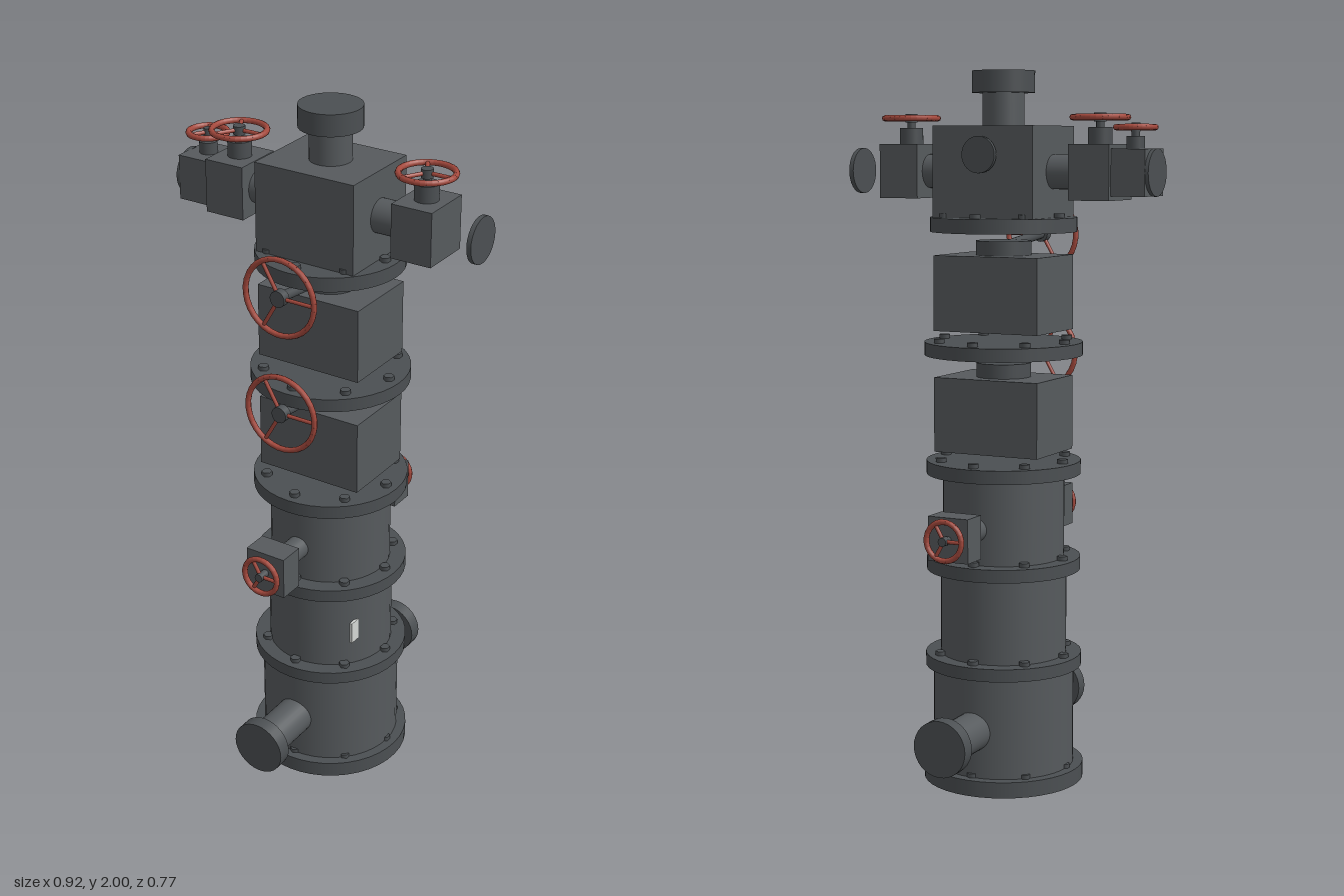
import * as THREE from 'three';
import { mergeGeometries } from 'three/addons/utils/BufferGeometryUtils.js';

const mat = (name, color) => {
  const m = new THREE.MeshStandardMaterial({ color });
  m.name = name;
  return m;
};

export function createModel() {
  const root = new THREE.Group();
  root.name = 'wellheadTree';
  const body = mat('steelGrey', 0x565a5d);
  const dark = mat('flangeGrey', 0x4b4f52);
  const red = mat('wheelRed', 0xa5493d);
  const pale = mat('paleGrey', 0xd4d6d4);

  const add = (parent, name, geo, material, x = 0, y = 0, z = 0) => {
    const m = new THREE.Mesh(geo, material);
    m.name = name;
    m.position.set(x, y, z);
    parent.add(m);
    return m;
  };
  // cylinder between two points
  const rod = (parent, name, a, b, r, material, sides = 32) => {
    const p = new THREE.Vector3(...a), q = new THREE.Vector3(...b);
    const d = q.clone().sub(p);
    const m = add(parent, name, new THREE.CylinderGeometry(r, r, d.length(), sides), material);
    m.position.copy(p).add(q).multiplyScalar(0.5);
    m.quaternion.setFromUnitVectors(new THREE.Vector3(0, 1, 0), d.normalize());
    return m;
  };
  const box = (parent, name, x0, x1, y0, y1, z0, z1, material = body) =>
    add(parent, name, new THREE.BoxGeometry(x1 - x0, y1 - y0, z1 - z0), material,
      (x0 + x1) / 2, (y0 + y1) / 2, (z0 + z1) / 2);

  // handwheel facing +z: segmented rim, three spokes and a hub
  const handwheel = (parent, name, radius, tube, count) => {
    const g = new THREE.Group();
    g.name = name;
    const r = radius - tube, parts = [];
    for (let i = 0; i < count; i++) {
      const a = i / count * Math.PI * 2;
      const seg = new THREE.CylinderGeometry(tube, tube, 2 * Math.PI * r / count * 1.2, 8);
      parts.push(seg.translate(r, 0, 0).rotateZ(a));
    }
    for (let i = 0; i < 3; i++) {
      const spoke = new THREE.CylinderGeometry(tube * 0.7, tube * 0.7, r, 8);
      parts.push(spoke.rotateZ(Math.PI / 2).translate(r / 2, 0, 0).rotateZ(i * Math.PI * 2 / 3));
    }
    add(g, 'rimAndSpokes', mergeGeometries(parts), red);
    rod(g, 'hub', [0, 0, -0.012], [0, 0, 0.012], radius * 0.2, dark, 16);
    parent.add(g);
    return g;
  };

  // flange with a ring of eight hex bolts
  const flange = (y0, y1, r) => {
    const g = new THREE.Group();
    g.name = 'boltedFlange';
    rod(g, 'flange', [0, y0, 0], [0, y1, 0], r, dark, 40);
    for (let i = 0; i < 8; i++) {
      const a = i * Math.PI / 4;
      add(g, 'bolt', new THREE.CylinderGeometry(0.015, 0.015, 0.024, 6), dark,
        Math.sin(a) * (r - 0.034), y1, Math.cos(a) * (r - 0.034));
    }
    root.add(g);
  };
  flange(0, 0.045, 0.228);
  flange(0.33, 0.366, 0.222);
  flange(0.608, 0.645, 0.218);
  flange(0.882, 0.92, 0.218);
  flange(1.217, 1.254, 0.222);
  flange(1.56, 1.6, 0.205);

  // casing spools
  for (const [y0, y1, r] of [[0.045, 0.33, 0.2], [0.366, 0.608, 0.179], [0.645, 0.882, 0.172]])
    rod(root, 'spool', [0, y0, 0], [0, y1, 0], r, body, 40);
  box(root, 'namePlate', 0.146, 0.154, 0.448, 0.514, 0.09, 0.126, pale);

  // front and back outlets
  for (const s of [1, -1]) {
    const g = new THREE.Group();
    g.name = 'sideOutlets';
    if (s < 0) g.rotation.y = Math.PI;
    root.add(g);
    rod(g, 'outletPipe', [0, 0.176, 0.15], [0, 0.176, 0.35], 0.055, body);
    rod(g, 'outletFlange', [0, 0.176, 0.345], [0, 0.176, 0.385], 0.079, dark);
    rod(g, 'valvePipe', [0, 0.745, 0.14], [0, 0.745, 0.26], 0.033, body);
    box(g, 'valveBody', -0.061, 0.061, 0.684, 0.806, 0.256, 0.332);
    rod(g, 'valveStem', [0, 0.745, 0.33], [0, 0.745, 0.36], 0.011, dark, 16);
    handwheel(g, 'valveWheel', 0.061, 0.008, 24).position.set(0, 0.745, 0.354);
  }

  // master valves on the main bore
  for (const y of [0.945, 1.285]) {
    const g = new THREE.Group();
    g.name = 'masterValve';
    g.position.y = y;
    root.add(g);
    box(g, 'valveBody', -0.16, 0.16, 0, 0.21, -0.115, 0.115);
    rod(g, 'bonnet', [0, 0.21, 0], [0, 0.25, 0], 0.077, dark);
    rod(g, 'stem', [0, 0.233, 0], [0, 0.259, 0.232], 0.014, dark, 16);
    handwheel(g, 'masterWheel', 0.115, 0.008, 32).position.set(0, 0.259, 0.245);
  }

  // tree block, neck and cap
  box(root, 'treeBlock', -0.153, 0.153, 1.6, 1.85, -0.13, 0.13);
  rod(root, 'neck', [0, 1.85, 0], [0, 1.945, 0], 0.058, body);
  rod(root, 'treeCap', [0, 1.94, 0], [0, 2, 0], 0.087, dark);

  // gauge on the back of the block
  rod(root, 'gaugeFace', [0, 1.772, -0.128], [0, 1.772, -0.144], 0.044, pale);
  rod(root, 'gaugeCase', [0, 1.772, -0.142], [0, 1.772, -0.154], 0.05, dark);

  // wing valve with an upright stem and a flat handwheel
  const wingValve = (name, cx, hx, y0, y1, hz, stemX, wheelY, wheelR, bonnetR) => {
    const g = new THREE.Group();
    g.name = name;
    root.add(g);
    box(g, 'valveBody', cx - hx, cx + hx, y0, y1, -hz, hz);
    rod(g, 'bonnet', [stemX, y1, 0], [stemX, y1 + 0.045 * wheelR / 0.083, 0], bonnetR, dark);
    rod(g, 'stem', [stemX, y1, 0], [stemX, wheelY, 0], 0.011, dark, 16);
    const w = handwheel(g, 'wingWheel', wheelR, 0.0085, 32);
    w.position.set(stemX, wheelY, 0);
    w.rotation.x = -Math.PI / 2;
  };
  for (const s of [-1, 1]) {
    rod(root, 'wingPipe', [s * 0.14, 1.725, 0], [s * 0.24, 1.725, 0], 0.047, body);
    wingValve('wingValve', s * 0.292, 0.06, 1.65, 1.8, 0.076, s * 0.292, 1.872, 0.083, 0.033);
  }
  wingValve('outerWingValve', -0.4, 0.05, 1.662, 1.788, 0.064, -0.396, 1.845, 0.061, 0.025);
  rod(root, 'wingEndFlange', [-0.46, 1.725, 0], [-0.446, 1.725, 0], 0.064, dark);
  rod(root, 'wingEndFlange', [0.447, 1.725, 0], [0.46, 1.725, 0], 0.064, dark);

  return root;
}
